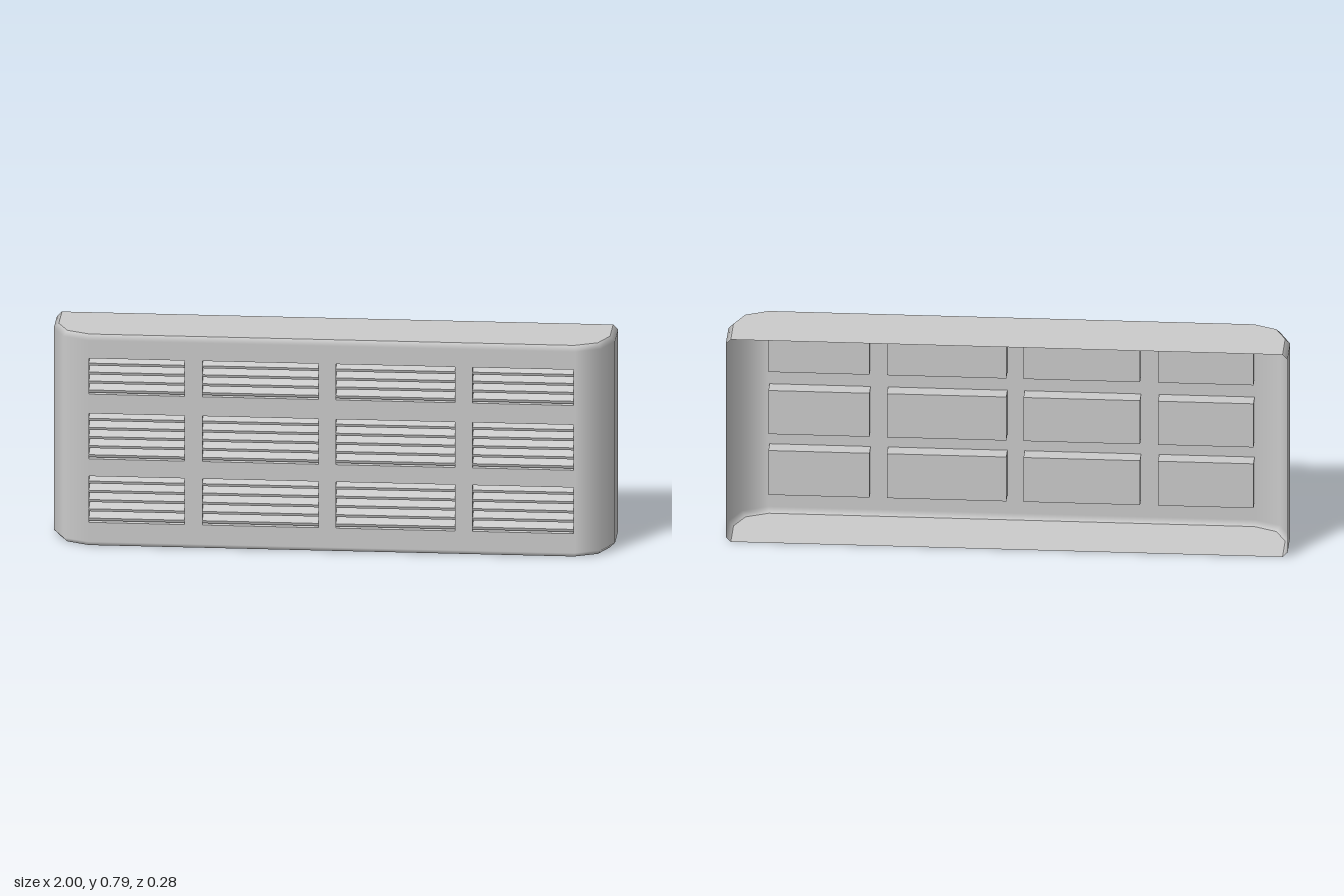
import * as THREE from 'three';

const H = 0.785, BACK = -0.14, FRONT = 0.138, BEVEL = 0.018;
const mat = new THREE.MeshStandardMaterial({ color: 0xcccccc, side: THREE.DoubleSide });

// Right half of the plan outline: outer x, z / inset x, z / normal angle from +x
const half = [
  [1, BACK, 0.982, BACK, 0],
  [1, 0, 0.982, 0, 0.1],
  [0.958, 0.096, 0.945, 0.082, Math.PI / 4],
  [0.868, FRONT, 0.864, 0.12, Math.PI / 2],
];
const outline = [
  ...half,
  ...half.slice().reverse().map(([x, z, ix, iz, a]) => [-x, z, -ix, iz, Math.PI - a]),
];

// Vent openings: [left, right] columns; [bottom, top, slat count] rows
const columns = [[-0.864, -0.524], [-0.46, -0.045], [0.016, 0.441], [0.503, 0.863]];
const rows = [[0.09, 0.262, 5], [0.326, 0.495, 5], [0.567, 0.70, 4]];
const DEPTH = 0.06;

function add(parent, geometry, name) {
  const mesh = new THREE.Mesh(geometry, mat);
  mesh.name = name;
  parent.add(mesh);
  return mesh;
}

// Side walls and bevelled rims, swept round the outline with smooth normals
function wallGeometry() {
  const levels = [[0, true, -1], [BEVEL, false, 0], [H - BEVEL, false, 0], [H, true, 1]];
  const pos = [], nor = [], idx = [];
  const n = outline.length;
  const normal = new THREE.Vector3();
  for (const [y, inset, up] of levels) {
    for (const [x, z, ix, iz, a] of outline) {
      pos.push(inset ? ix : x, y, inset ? iz : z);
      normal.set(Math.cos(a), up, Math.sin(a)).normalize();
      nor.push(normal.x, normal.y, normal.z);
    }
  }
  for (let j = 0; j < 3; j++) {
    for (let i = 0; i < n - 1; i++) {
      if (j === 1 && i === 3) continue; // left open for the grille panel
      const a = j * n + i, b = a + 1, c = a + n, d = c + 1;
      idx.push(a, c, b, b, c, d);
    }
  }
  const g = new THREE.BufferGeometry();
  g.setAttribute('position', new THREE.Float32BufferAttribute(pos, 3));
  g.setAttribute('normal', new THREE.Float32BufferAttribute(nor, 3));
  g.setIndex(idx);
  return g;
}

function rectPoints(x0, y0, x1, y1) {
  return [[x0, y0], [x1, y0], [x1, y1], [x0, y1]].map(p => new THREE.Vector2(...p));
}

export function createModel() {
  const model = new THREE.Group();
  model.name = 'ventCover';

  add(model, wallGeometry(), 'sideWalls');

  // Flat top and bottom plates
  const plate = new THREE.Shape(outline.map(p => new THREE.Vector2(p[2], -p[3])));
  const top = add(model, new THREE.ShapeGeometry(plate).rotateX(-Math.PI / 2), 'topPlate');
  top.position.y = H;
  const under = new THREE.Shape(outline.map(p => new THREE.Vector2(p[2], p[3])));
  add(model, new THREE.ShapeGeometry(under).rotateX(Math.PI / 2), 'bottomPlate');

  // Front panel pierced by the vents
  const panel = new THREE.Shape(rectPoints(-0.868, BEVEL, 0.868, H - BEVEL));
  for (const [x0, x1] of columns) {
    for (const [y0, y1] of rows) {
      panel.holes.push(new THREE.Path(rectPoints(x0, y0, x1, y1).reverse()));
    }
  }
  add(model, new THREE.ShapeGeometry(panel), 'frontPanel').position.z = FRONT;

  // Each vent: a pocket open to the front, filled with sloping slats
  for (const [x0, x1] of columns) {
    for (const [y0, y1, count] of rows) {
      const vent = new THREE.Group();
      vent.name = 'vent';
      vent.position.set((x0 + x1) / 2, y0, FRONT);
      model.add(vent);
      const w = x1 - x0, h = y1 - y0;

      const box = new THREE.BoxGeometry(w, h, DEPTH);
      const index = Array.from(box.index.array);
      index.splice(24, 6); // remove the front face
      box.setIndex(index);
      box.clearGroups();
      add(vent, box, 'pocket').position.set(0, h / 2, -DEPTH / 2);

      const pitch = h / count;
      for (let i = 0; i < count; i++) {
        const slat = add(vent, new THREE.BoxGeometry(w, 0.011, 0.045), 'slat');
        slat.position.set(0, (i + 0.5) * pitch, -0.028);
        slat.rotation.x = 0.35;
      }
    }
  }
  return model;
}
